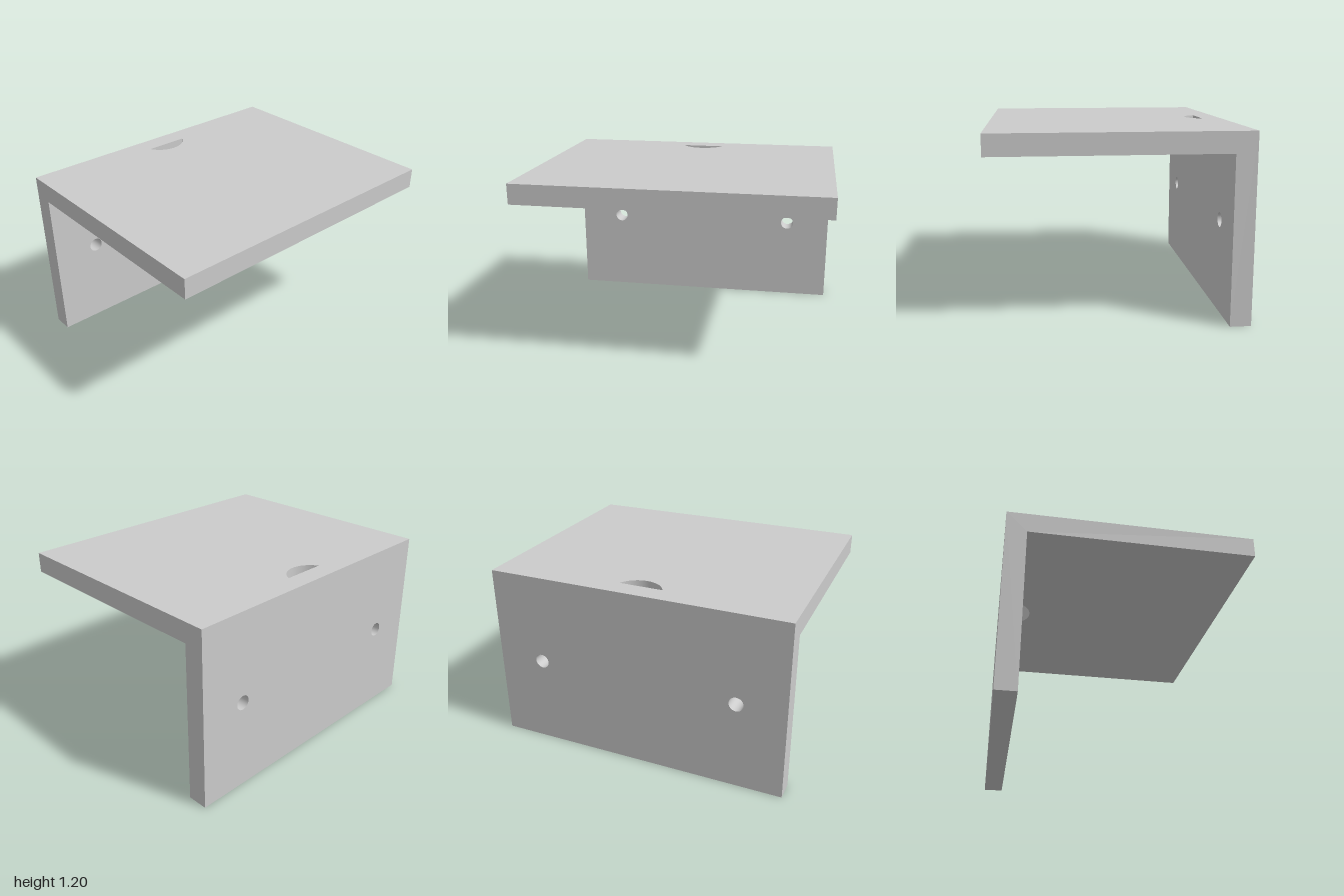
import * as THREE from 'three';
import { mergeGeometries } from 'three/addons/utils/BufferGeometryUtils.js';

const W = 1, H = 1.2, D = 0.8, T = 0.1333;            // half width, height, half depth, thickness
const INNER_Y = H - T, INNER_Z = -D + T;              // inside faces of the angle
const BOLT_R = 0.048, BOLT_X = 0.68, BOLT_Y = 0.6;
const SLOT_R = 0.16, SLOT_Z = -D + T / 2;             // slot is an arc segment cut flush with the wall
const SLOT_HALF = Math.acos((INNER_Z - SLOT_Z) / SLOT_R);
const SEG = 32;

const V = (x, y, z) => new THREE.Vector3(x, y, z);
const poly = (pts) => new THREE.Shape(pts.map(([x, y]) => new THREE.Vector2(x, y)));
const rect = (y0, y1) => poly([[-W, y0], [W, y0], [W, y1], [-W, y1]]);

// Flat face drawn in the plane spanned by u and v
function face(shape, u, v, origin) {
  const m = new THREE.Matrix4().makeBasis(u, v, u.clone().cross(v)).setPosition(origin);
  return new THREE.ShapeGeometry(shape, SEG / 2).applyMatrix4(m);
}

// Wall face with two bolt holes
function wallShape(top) {
  const s = rect(0, top);
  for (const side of [-1, 1]) {
    s.holes.push(new THREE.Path().absarc(side * BOLT_X, BOLT_Y, BOLT_R, 0, Math.PI * 2, true));
  }
  return s;
}

// Slot arc as [x, z], from -x to +x
const slotArc = Array.from({ length: SEG + 1 }, (_, i) => {
  const a = SLOT_HALF * (2 * i / SEG - 1);
  return [SLOT_R * Math.sin(a), SLOT_Z + SLOT_R * Math.cos(a)];
});

export function createModel() {
  const group = new THREE.Group();
  const grey = new THREE.MeshStandardMaterial({ color: 0xcccccc });
  const inward = new THREE.MeshStandardMaterial({ color: 0xcccccc, side: THREE.BackSide });
  const add = (name, geometry, material = grey) => {
    const mesh = new THREE.Mesh(geometry, material);
    mesh.name = name;
    group.add(mesh);
    return mesh;
  };

  const X = V(1, 0, 0), Y = V(0, 1, 0), Z = V(0, 0, 1);
  const back = V(0, 0, -1);

  // Shelf faces: the slot is a hole on top and a notch underneath
  const top = rect(-D, D);
  top.holes.push(poly(slotArc.map(([x, z]) => [x, -z])));
  const under = poly([[-W, INNER_Z], ...slotArc, [W, INNER_Z], [W, D], [-W, D]]);

  // L-shaped end outline as [z, y]
  const profile = [[-D, 0], [INNER_Z, 0], [INNER_Z, INNER_Y], [D, INNER_Y], [D, H], [-D, H]];

  add('angleBracket', mergeGeometries([
    face(top, X, back, V(0, H, 0)),
    face(under, X, Z, V(0, INNER_Y, 0)),
    face(rect(INNER_Y, H), X, Y, V(0, 0, D)),
    face(wallShape(INNER_Y), X, Y, V(0, 0, INNER_Z)),
    face(wallShape(H), V(-1, 0, 0), Y, V(0, 0, -D)),
    face(rect(-D, INNER_Z), X, Z, V(0, 0, 0)),
    face(poly(profile), Z, Y, V(-W, 0, 0)),
    face(poly(profile.map(([z, y]) => [-z, y])), back, Y, V(W, 0, 0)),
  ]));

  // Bolt hole linings
  for (const [name, side] of [['leftBoltHole', 1], ['rightBoltHole', -1]]) {
    const bore = new THREE.CylinderGeometry(BOLT_R, BOLT_R, T, SEG, 1, true).rotateX(Math.PI / 2);
    add(name, bore, inward).position.set(side * BOLT_X, BOLT_Y, -D + T / 2);
  }

  // Slot lining: curved front and flat back
  add('slotCurve', new THREE.CylinderGeometry(SLOT_R, SLOT_R, T, SEG, 1, true, -SLOT_HALF, 2 * SLOT_HALF), inward)
    .position.set(0, H - T / 2, SLOT_Z);
  add('slotFlat', new THREE.PlaneGeometry(2 * SLOT_R * Math.sin(SLOT_HALF), T))
    .position.set(0, H - T / 2, INNER_Z);

  return group;
}
